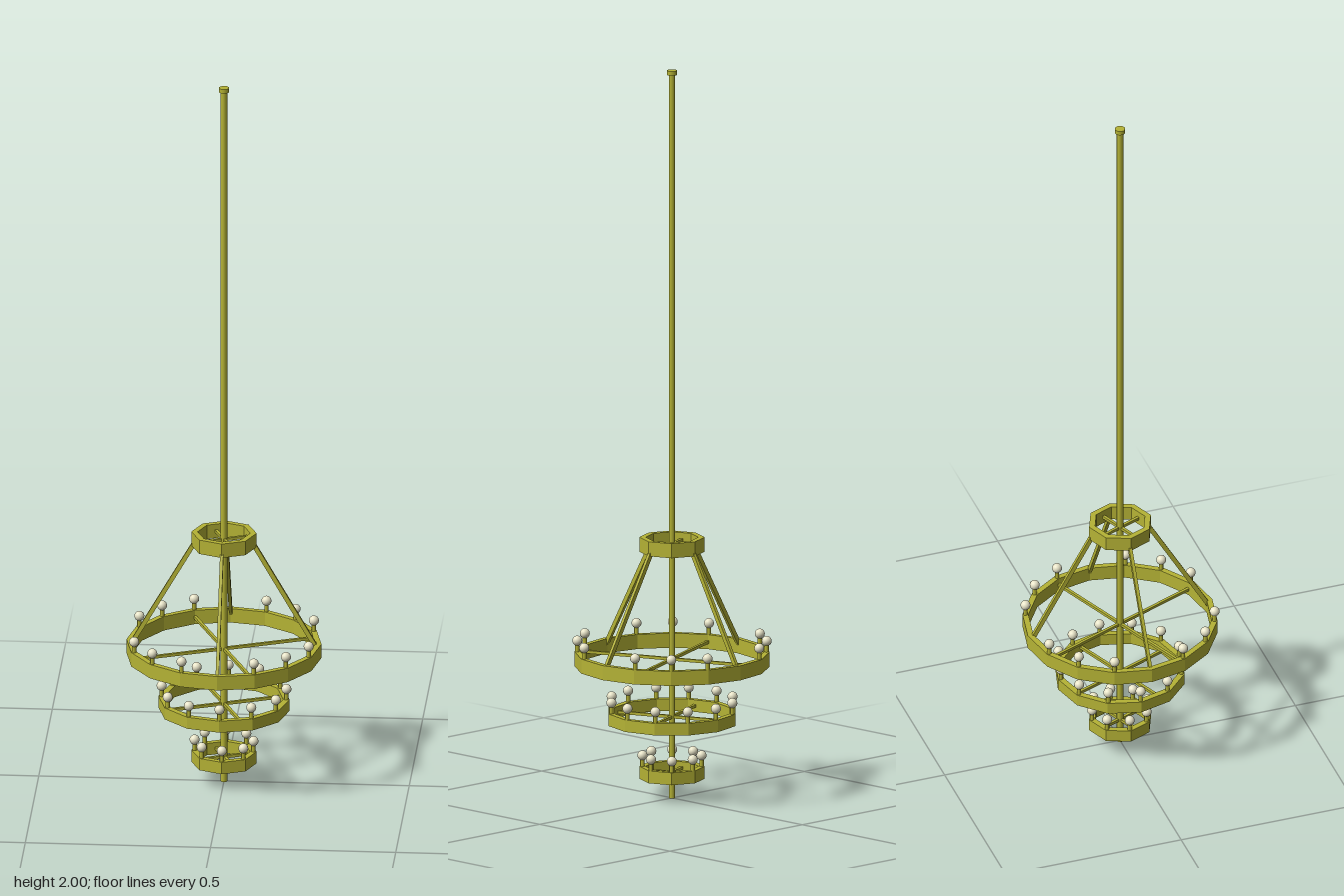
import * as THREE from 'three';

const brass = new THREE.MeshStandardMaterial({ color: 0xb5b335, flatShading: true });
const brassSmooth = new THREE.MeshStandardMaterial({ color: 0xb5b335 });
const glass = new THREE.MeshStandardMaterial({ color: 0xe8e4c8 });

const polar = (r, a, y) => new THREE.Vector3(r * Math.cos(a), y, -r * Math.sin(a));

function add(parent, name, geometry, material) {
  const mesh = new THREE.Mesh(geometry, material);
  mesh.name = name;
  parent.add(mesh);
  return mesh;
}

// Flat-sided hoop with a corner on each axis
function hoopGeometry(sides, outer, inner, bottom, top) {
  const polygon = r => Array.from({ length: sides }, (_, i) => {
    const a = i / sides * Math.PI * 2;
    return new THREE.Vector2(r * Math.cos(a), r * Math.sin(a));
  });
  const shape = new THREE.Shape(polygon(outer));
  shape.holes.push(new THREE.Path(polygon(inner).reverse()));
  return new THREE.ExtrudeGeometry(shape, { depth: top - bottom, bevelEnabled: false })
    .rotateX(-Math.PI / 2).translate(0, bottom, 0);
}

// Square bar between two points
function bar(parent, name, from, to, width, height) {
  const mesh = add(parent, name, new THREE.BoxGeometry(width, height, from.distanceTo(to)), brass);
  mesh.position.copy(from).lerp(to, 0.5);
  mesh.lookAt(to);
  return mesh;
}

// Small holder with a round bulb
function lamp(parent, position) {
  const group = new THREE.Group();
  group.name = 'lamp';
  group.position.copy(position);
  add(group, 'lampHolder', new THREE.CylinderGeometry(0.006, 0.006, 0.024, 8).translate(0, 0.01, 0), brassSmooth);
  add(group, 'bulb', new THREE.SphereGeometry(0.0135, 16, 12).translate(0, 0.03, 0), glass);
  parent.add(group);
}

export function createModel() {
  const model = new THREE.Group();
  model.name = 'chandelier';

  // Central rod and ceiling cap
  add(model, 'rod', new THREE.CylinderGeometry(0.009, 0.009, 1.99, 12).translate(0, 0.995, 0), brassSmooth);
  add(model, 'ceilingCap', new THREE.CylinderGeometry(0.014, 0.014, 0.012, 12).translate(0, 1.994, 0), brassSmooth);

  // Tiers from the top down; the crown carries no lamps
  const tiers = [
    { name: 'crown', sides: 8, outer: 0.088, inner: 0.071, bottom: 0.677, top: 0.717, lit: () => false },
    { name: 'largeTier', sides: 16, outer: 0.263, inner: 0.247, bottom: 0.362, top: 0.402, lit: i => i % 4 !== 0 },
    { name: 'middleTier', sides: 12, outer: 0.177, inner: 0.16, bottom: 0.207, top: 0.24, lit: () => true },
    { name: 'smallTier', sides: 8, outer: 0.088, inner: 0.071, bottom: 0.053, top: 0.087, lit: () => true },
  ];
  for (const t of tiers) {
    const tier = new THREE.Group();
    tier.name = t.name;
    model.add(tier);
    add(tier, 'hoop', hoopGeometry(t.sides, t.outer, t.inner, t.bottom, t.top), brass);

    // Two crossing spokes through the rod
    const reach = (t.outer + t.inner) / 2 * (t.sides === 16 ? 1 : Math.cos(Math.PI / t.sides));
    const y = (t.bottom + t.top) / 2;
    for (let i = 0; i < 2; i++) {
      const a = Math.PI / 8 + i * Math.PI / 2;
      bar(tier, 'spoke', polar(reach, a + Math.PI, y), polar(reach, a, y), 0.008, 0.008);
    }

    // Lamps on the hoop corners
    for (let i = 0; i < t.sides; i++) {
      if (t.lit(i)) lamp(tier, polar((t.outer + t.inner) / 2, i / t.sides * Math.PI * 2, t.top));
    }
  }

  // Sloping braces from the crown to the large tier
  for (let i = 0; i < 4; i++) {
    const a = i * Math.PI / 2;
    bar(model, 'brace', polar(0.077, a, 0.69), polar(0.253, a, 0.385), 0.009, 0.012);
  }
  return model;
}
